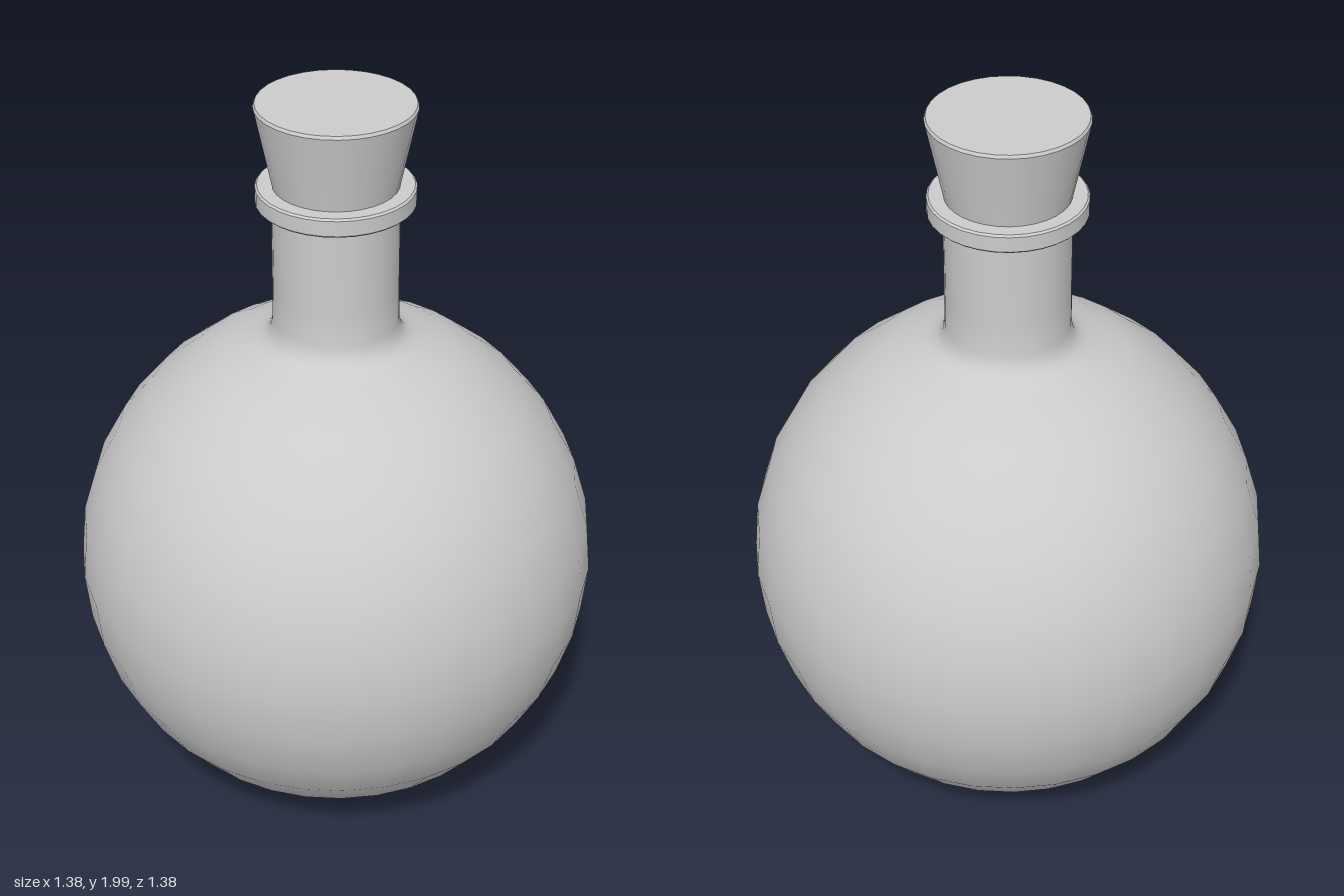
import * as THREE from 'three';
import { toCreasedNormals } from 'three/addons/utils/BufferGeometryUtils.js';

const SIDES = 32;

// Revolve a [radius, height] profile, listed from bottom to top
function turned(name, profile) {
  const points = profile.map(([r, y]) => new THREE.Vector2(r, y));
  const geometry = toCreasedNormals(new THREE.LatheGeometry(points, SIDES), 0.6);
  const material = new THREE.MeshStandardMaterial({ color: 0xcccccc, side: THREE.DoubleSide });
  const mesh = new THREE.Mesh(geometry, material);
  mesh.name = name;
  return mesh;
}

export function createModel() {
  const group = new THREE.Group();
  group.name = 'flask';

  // Round body, flowing through a small fillet into the straight neck
  const radius = 0.69, centre = 0.697;
  const body = [];
  for (let i = 0; i <= 13; i++) {
    const a = (i * Math.PI) / 16;
    body.push([radius * Math.sin(a), centre - radius * Math.cos(a)]);
  }
  body.push(
    [0.31, 1.312], [0.24, 1.337], [0.205, 1.351], [0.183, 1.364],
    [0.169, 1.383], [0.162, 1.41], [0.161, 1.5], [0.161, 1.75]
  );
  group.add(turned('bodyAndNeck', body));

  // Flat lip around the mouth, edges slightly bevelled
  group.add(turned('lip', [
    [0.155, 1.735], [0.196, 1.735], [0.201, 1.74], [0.201, 1.78],
    [0.196, 1.785], [0.155, 1.785], [0.155, 1.735]
  ]));

  // Tapered stopper, seated in the mouth
  group.add(turned('stopper', [
    [0, 1.75], [0.153, 1.75], [0.159, 1.785], [0.202, 1.992], [0.198, 2], [0, 2]
  ]));

  return group;
}
